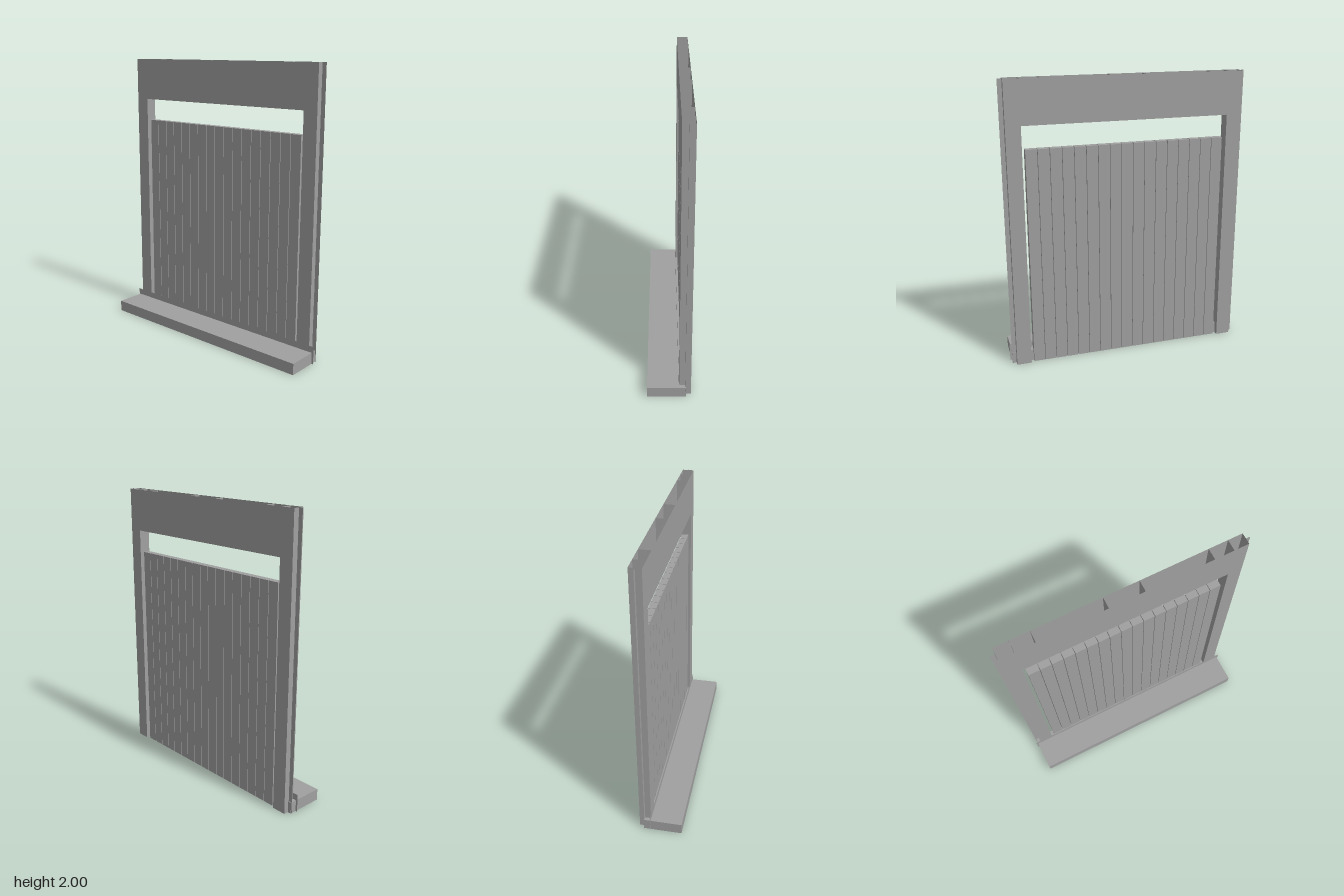
import * as THREE from 'three';

export function createModel() {
  const model = new THREE.Group();
  const grey = new THREE.MeshStandardMaterial({ color: 0xa0a0a0, side: THREE.DoubleSide });
  grey.name = 'grey';

  const FRONT = -0.07, BACK = -0.15, MID = (FRONT + BACK) / 2, DEPTH = FRONT - BACK;
  const W = 0.82, IN = 0.718, LINTEL = 1.7, TOP = 2;

  const add = (name, geo, x, y, z) => {
    const mesh = new THREE.Mesh(geo, grey);
    mesh.name = name;
    mesh.position.set(x, y, z);
    model.add(mesh);
    return mesh;
  };
  // Thin sheets facing z, x and y
  const sheetZ = (name, x0, x1, y0, y1, z) =>
    add(name, new THREE.PlaneGeometry(x1 - x0, y1 - y0), (x0 + x1) / 2, (y0 + y1) / 2, z);
  const sheetX = (name, x, y0, y1) => {
    add(name, new THREE.PlaneGeometry(DEPTH, y1 - y0), x, (y0 + y1) / 2, MID).rotation.y = Math.PI / 2;
  };
  const sheetY = (name, x0, x1, y) => {
    add(name, new THREE.PlaneGeometry(x1 - x0, DEPTH), (x0 + x1) / 2, y, MID).rotation.x = -Math.PI / 2;
  };

  // Front and back skins: an upside-down U around the opening
  const frame = new THREE.Shape([
    [-W, 0], [-IN, 0], [-IN, LINTEL], [IN, LINTEL], [IN, 0], [W, 0], [W, TOP], [-W, TOP],
  ].map(([x, y]) => new THREE.Vector2(x, y)));
  add('frontSkin', new THREE.ShapeGeometry(frame), 0, 0, FRONT);
  add('backSkin', new THREE.ShapeGeometry(frame), 0, 0, BACK).rotation.y = Math.PI;

  // Hollow frame: lintel underside, jambs, outer walls, inner ribs, side fins
  sheetY('lintelUnderside', -IN, IN, LINTEL);
  for (const s of [-1, 1]) {
    sheetX('jamb', s * IN, 0, TOP);
    sheetX('outerWall', s * W, 0, TOP);
    for (const x of [0.12, 0.585]) sheetX('lintelRib', s * x, LINTEL, TOP);
    const mid = s * (IN + W) / 2, half = (W - IN) / 2;
    sheetY('jambFoot', mid - half, mid + half, 0);
    const fin = s * (W + 0.015);
    sheetZ('sideFin', fin - 0.015, fin + 0.015, 0, TOP, MID);
  }

  // Upright slats filling the opening
  const count = 17, pitch = 1.395 / count, slatW = pitch - 0.004, slatH = 1.54;
  for (let i = 0; i < count; i++) {
    add('slat', new THREE.BoxGeometry(slatW, slatH, 0.05),
      (i - (count - 1) / 2) * pitch, slatH / 2, MID);
  }

  // Kick plate and projecting step
  sheetZ('kickPlate', -0.858, 0.858, 0, 0.125, FRONT + 0.003);
  add('step', new THREE.BoxGeometry(1.69, 0.08, 0.265), 0, 0.04, 0.0175);

  return model;
}
